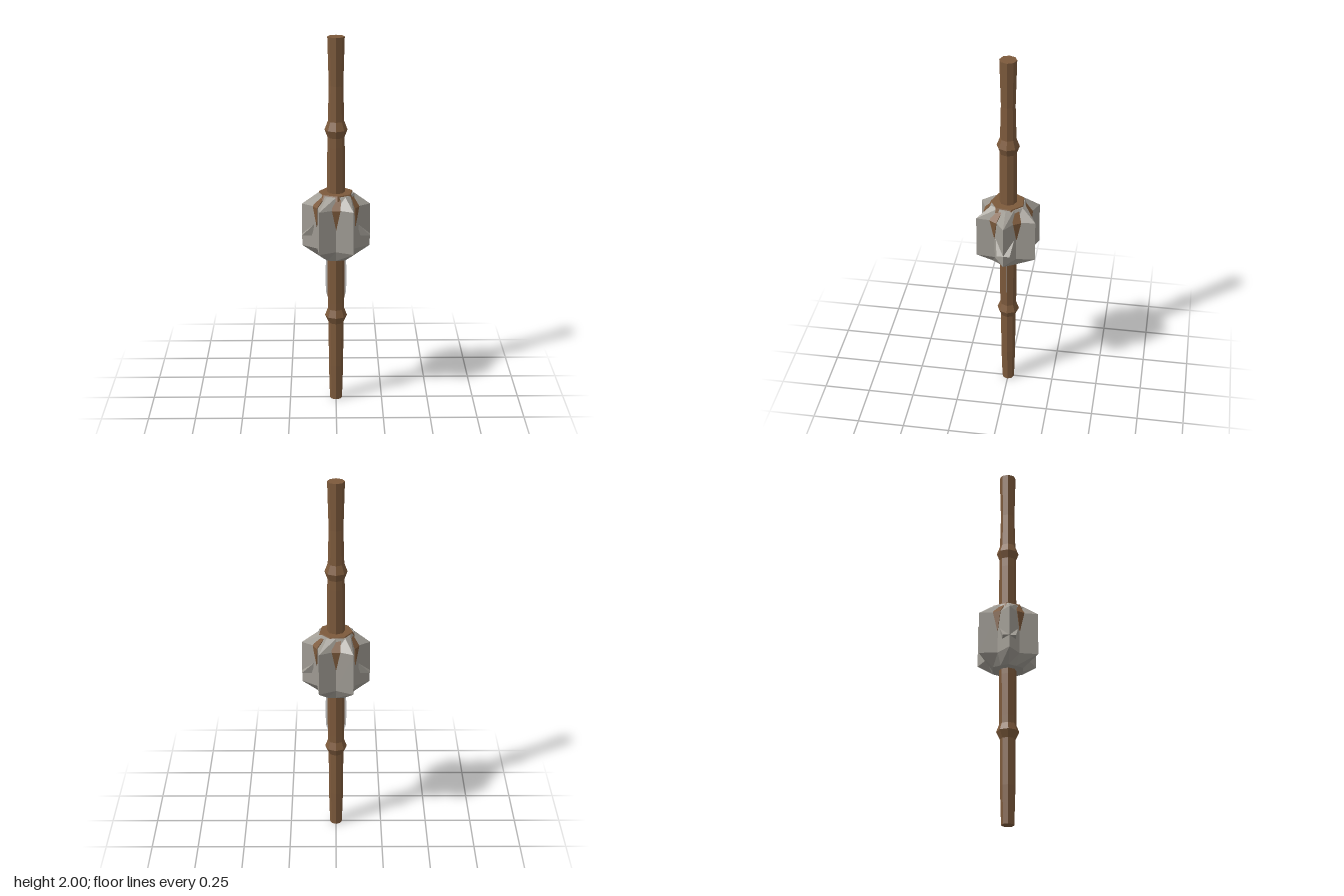
import * as THREE from 'three';
import { ConvexGeometry } from 'three/addons/geometries/ConvexGeometry.js';

const mat = (color, extra = {}) => new THREE.MeshStandardMaterial({ color, flatShading: true, ...extra });
const V = (x, y, z) => new THREE.Vector3(x, y, z);

export function createModel() {
  const group = new THREE.Group();
  const wood = mat(0x7d5a3c);
  const stone = mat(0xa09c94);
  const add = (name, geometry, material, parent = group) => {
    const mesh = new THREE.Mesh(geometry, material);
    mesh.name = name;
    parent.add(mesh);
    return mesh;
  };

  // Eight-sided shaft with two flared rings
  const profile = [
    [0, 0], [0.033, 0], [0.039, 0.2], [0.04, 0.45], [0.059, 0.49], [0.044, 0.53],
    [0.044, 0.57], [0.046, 0.8], [0.046, 1.2], [0.045, 1.43], [0.044, 1.48],
    [0.059, 1.52], [0.042, 1.565], [0.037, 1.75], [0.044, 2], [0, 2],
  ].map(([r, y]) => new THREE.Vector2(r, y));
  add('shaft', new THREE.LatheGeometry(profile, 8), wood);

  // Star-shaped stone head: ridges and valleys alternate around each ring
  const rings = [ // y, ridge radius, valley radius (top to bottom)
    [1.18, 0.095, 0.085], [1.12, 0.178, 0.113], [0.89, 0.178, 0.113], [0.83, 0.09, 0.08],
  ];
  const head = new THREE.CylinderGeometry(1, 1, 3, 12, 3);
  const p = head.attributes.position;
  for (let i = 0; i < p.count; i++) {
    const x = p.getX(i), z = p.getZ(i);
    const [y, ridge, valley] = rings[Math.round(1.5 - p.getY(i))];
    const step = Math.round(Math.atan2(x, z) / (Math.PI / 6));
    const r = Math.abs(step) % 2 ? ridge : valley;
    p.setXYZ(i, x * r, y, z * r);
  }
  add('stoneHead', head, stone);

  // Leather collar on top of the head
  const collar = add('collar', new THREE.CylinderGeometry(0.088, 0.1, 0.025, 7), wood);
  collar.position.y = 1.173;
  collar.rotation.y = 0.08;

  // Pointed leather tongues lying in the valleys
  const tongue = new ConvexGeometry([
    V(-0.026, 1.18, 0.08), V(0.026, 1.18, 0.08),
    V(-0.022, 1.12, 0.127), V(0.022, 1.12, 0.127),
    V(-0.018, 1.1, 0.09), V(0.018, 1.1, 0.09), V(0, 1.01, 0.117),
  ]);
  for (let i = 0; i < 6; i++) {
    add('tongue', tongue, wood).rotation.y = i * Math.PI / 3;
  }

  // Small barbs on both faces of the side ridges, and thin slivers by the shaft
  const sliver = new THREE.Shape();
  sliver.moveTo(0.04, 0.58);
  sliver.lineTo(0.053, 0.62);
  sliver.lineTo(0.057, 0.7);
  sliver.lineTo(0.053, 0.82);
  sliver.lineTo(0.04, 0.82);
  const pale = mat(0xf0f0f0, { side: THREE.DoubleSide });
  for (const s of [1, -1]) {
    for (const t of [1, -1]) {
      add('barb', new ConvexGeometry([
        V(s * 0.178, 0.955, 0), V(s * 0.178, 0.955, t * 0.034),
        V(s * 0.118, 0.955, t * 0.036), V(s * 0.116, 1.02, t * 0.048),
      ]), stone);
    }
    add('sliver', new THREE.ShapeGeometry(sliver), pale).rotation.y = s > 0 ? 0 : Math.PI;
  }
  return group;
}
